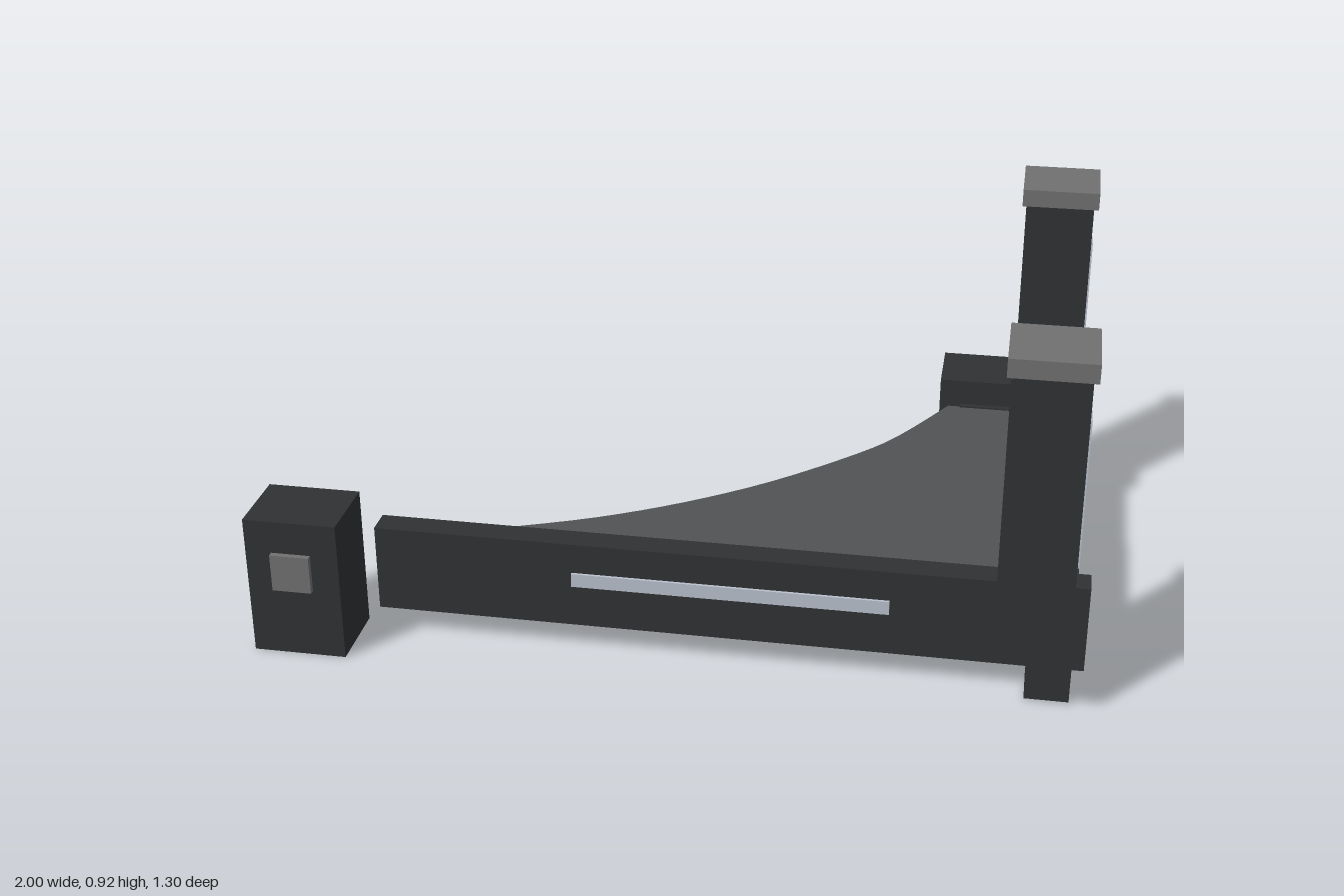
import * as THREE from 'three';

export function createModel() {
  const model = new THREE.Group();
  const mat = (color) => new THREE.MeshStandardMaterial({ color, flatShading: true });
  const dark = mat(0x2f3133);
  const deckGrey = mat(0x505254);
  const capGrey = mat(0x707070);
  const lightGrey = mat(0xb8c0cc);

  // Box given by its extents on each axis
  function box(name, material, [x0, x1], [y0, y1], [z0, z1]) {
    const mesh = new THREE.Mesh(new THREE.BoxGeometry(x1 - x0, y1 - y0, z1 - z0), material);
    mesh.position.set((x0 + x1) / 2, (y0 + y1) / 2, (z0 + z1) / 2);
    mesh.name = name;
    model.add(mesh);
  }

  // Extents mirrored to the front (s = 1) or back (s = -1)
  const side = (s, a, b) => (s > 0 ? [a, b] : [-b, -a]);

  // Posts, caps, post lights and foot blocks at both corners
  for (const s of [1, -1]) {
    const label = s > 0 ? 'front' : 'back';
    box(label + 'Post', dark, [0.785, 0.96], [0.17, 0.875], side(s, 0.46, 0.632));
    box(label + 'PostCap', capGrey, [0.775, 0.972], [0.875, 0.92], side(s, 0.446, 0.645));
    box(label + 'PostLight', lightGrey, [0.95, 0.966], [0.385, 0.755], side(s, 0.52, 0.574));
    box(label + 'FootBlock', dark, [0.865, 0.97], [0.005, 0.315], side(s, 0.432, 0.542));
  }

  // Long front rail with its light strip, and the short back rail
  box('frontRail', dark, [-0.72, 1], [0.07, 0.292], [0.435, 0.503]);
  box('frontRailLight', lightGrey, [-0.23, 0.538], [0.18, 0.215], [0.495, 0.51]);
  box('backRail', dark, [0.645, 1], [0.07, 0.292], [-0.503, -0.435]);

  // End blocks with square badges
  box('frontEndBlock', dark, [-1, -0.77], [0, 0.36], [0.45, 0.635]);
  box('frontEndBadge', capGrey, [-0.935, -0.838], [0.18, 0.276], [0.62, 0.649]);
  box('backEndBlock', dark, [0.588, 0.82], [0, 0.36], [-0.635, -0.45]);
  box('backEndBadge', capGrey, [0.655, 0.752], [0.18, 0.276], [-0.649, -0.62]);

  // Box hung under the deck
  box('underDeckBox', dark, [0.7, 0.93], [0.02, 0.178], [-0.2, 0.203]);

  // Deck with a concave edge; shape y is -z
  const edge = [[-0.4, 0.435], [-0.2, 0.35], [0, 0.235], [0.2, 0.085], [0.4, -0.11], [0.5, -0.24], [0.612, -0.44]];
  const curve = new THREE.SplineCurve(edge.map(([x, z]) => new THREE.Vector2(x, -z)));
  const outline = new THREE.Shape([
    new THREE.Vector2(0.965, 0.44),
    ...curve.getPoints(24).reverse(),
    new THREE.Vector2(0.965, -0.435),
  ]);
  const deckGeometry = new THREE.ExtrudeGeometry(outline, { depth: 0.11, bevelEnabled: false });
  deckGeometry.rotateX(-Math.PI / 2);
  const deck = new THREE.Mesh(deckGeometry, deckGrey);
  deck.position.y = 0.178;
  deck.name = 'deck';
  model.add(deck);

  return model;
}
